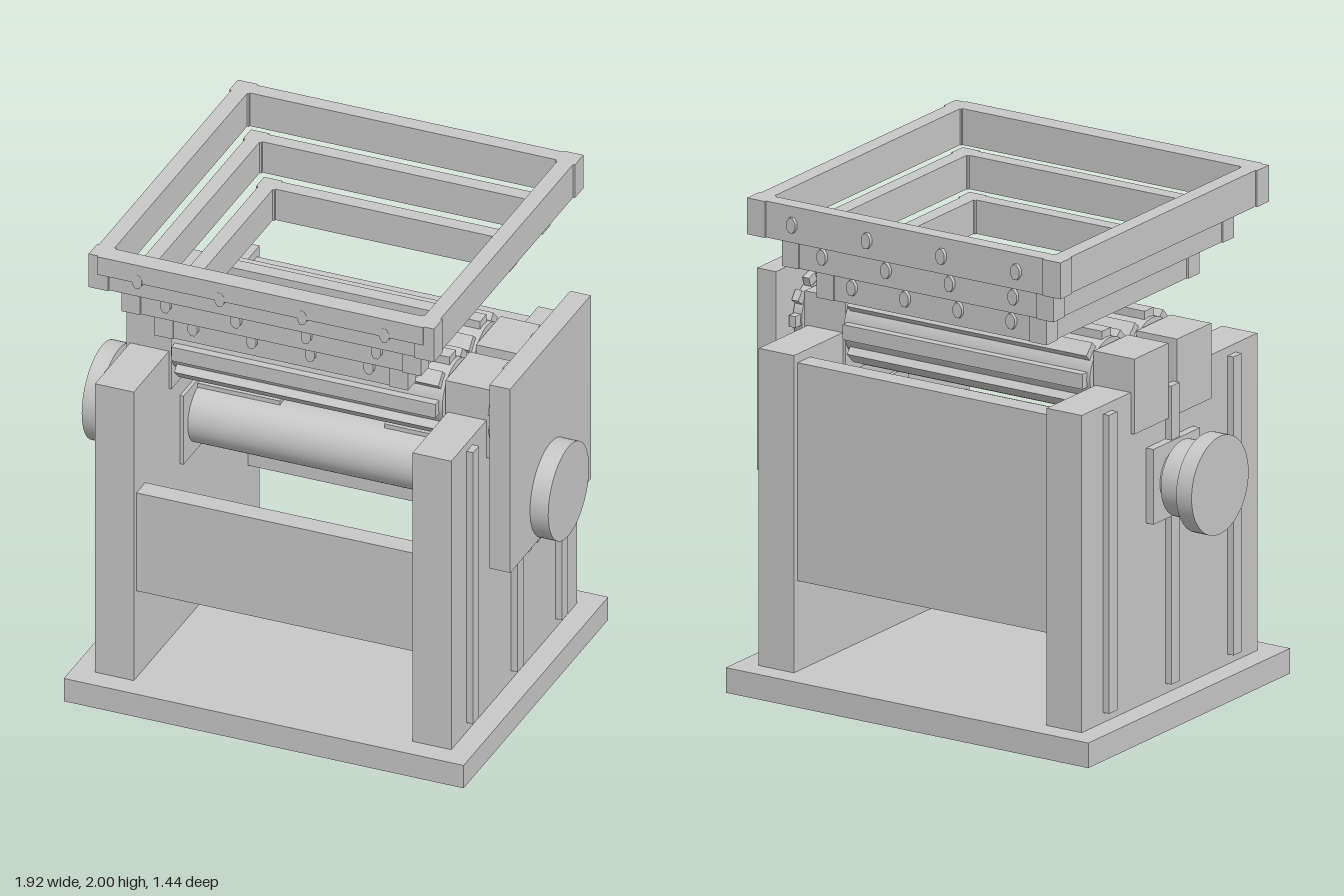
import * as THREE from 'three';

const grey = new THREE.MeshStandardMaterial({ color: 0xc8c8c8 });
grey.name = 'machine grey';

export function createModel() {
  const model = new THREE.Group();
  model.name = 'rollerCrusher';

  const add = (name, geometry, parent = model) => {
    const mesh = new THREE.Mesh(geometry, grey);
    mesh.name = name;
    parent.add(mesh);
    return mesh;
  };
  // Box given by its limits on each axis
  const box = (name, x0, x1, y0, y1, z0, z1, parent) => {
    const mesh = add(name, new THREE.BoxGeometry(x1 - x0, y1 - y0, z1 - z0), parent);
    mesh.position.set((x0 + x1) / 2, (y0 + y1) / 2, (z0 + z1) / 2);
    return mesh;
  };
  // Box at |x| between x0 and x1 on the given side
  const sideBox = (name, s, x0, x1, y0, y1, z0, z1) =>
    box(name, Math.min(s * x0, s * x1), Math.max(s * x0, s * x1), y0, y1, z0, z1);
  // Cylinder lying along x
  const rod = (name, r, x0, x1, y, z) => {
    const mesh = add(name, new THREE.CylinderGeometry(r, r, x1 - x0, 48).rotateZ(Math.PI / 2));
    mesh.position.set((x0 + x1) / 2, y, z);
    return mesh;
  };
  // Square bars around an axis along x
  const ring = (name, count, inner, outer, width, x0, x1, y, z, phase = 0) => {
    const group = new THREE.Group();
    group.name = name;
    group.position.set(0, y, z);
    for (let i = 0; i < count; i++) {
      const pivot = new THREE.Group();
      pivot.rotation.x = ((i + phase) / count) * Math.PI * 2;
      box(name + 'Bar', x0, x1, inner, outer, -width / 2, width / 2, pivot);
      group.add(pivot);
    }
    model.add(group);
  };

  box('base', -0.825, 0.825, 0, 0.1, -0.69, 0.69);

  // Side walls, notched at the top for the bearing blocks
  const rollY = 1.385, rollZ = 0.146, driveY = 0.965;
  const outline = new THREE.Shape([
    [-0.6, 0.1], [0.6, 0.1], [0.6, 1.365], [0.265, 1.365], [0.265, 1.2],
    [-0.265, 1.2], [-0.265, 1.365], [-0.6, 1.365],
  ].map(([z, y]) => new THREE.Vector2(z, y)));
  for (const s of [-1, 1]) {
    const wall = add('sideWall', new THREE.ExtrudeGeometry(outline, { depth: 0.16, bevelEnabled: false })
      .rotateY(Math.PI / 2));
    wall.position.x = s > 0 ? 0.575 : -0.735;
    for (const z of [-0.425, 0, 0.425])
      sideBox('wallRib', s, 0.73, 0.762, 0.14, 1.33, z - 0.028, z + 0.028);
    for (const z of [-rollZ, rollZ])
      sideBox('bearingBlock', s, 0.565, 0.75, 1.2, 1.5, z - 0.117, z + 0.117);
    sideBox('innerBearingPlate', s, 0.56, 0.58, driveY - 0.15, driveY + 0.15, -0.16, 0.16);
    sideBox('outerBearingPlate', s, 0.73, 0.768, driveY - 0.15, driveY + 0.15, -0.16, 0.16);
  }

  // Cross panels
  box('frontPanel', -0.575, 0.575, 0.48, 0.91, 0.49, 0.575);
  box('backPanel', -0.575, 0.575, 0.46, 1.33, -0.575, -0.49);

  // Lower drum with scraper strips
  rod('lowerDrum', 0.12, -0.565, 0.565, driveY, 0);
  box('drumStrip', -0.565, -0.22, 1.07, 1.1, -0.025, 0.025);
  box('drumStrip', 0.21, 0.555, 1.07, 1.1, -0.025, 0.025);

  // Pair of ribbed crushing rollers
  for (const z of [-rollZ, rollZ]) {
    rod('rollerCore', 0.135, -0.56, 0.56, rollY, z);
    rod('rollerShaft', 0.06, -0.74, 0.8, rollY, z);
    ring('rollerRib', 8, 0.12, 0.165, 0.06, -0.545, 0.545, rollY, z);
  }

  // Gear train behind the guard
  rod('driveGear', 0.235, 0.76, 0.825, driveY, 0);
  ring('driveGearTeeth', 16, 0.225, 0.275, 0.05, 0.765, 0.82, driveY, 0, 0.5);
  for (const z of [-rollZ, rollZ]) {
    rod('rollerGear', 0.13, 0.755, 0.795, rollY, z);
    ring('rollerGearTeeth', 10, 0.12, 0.165, 0.045, 0.76, 0.79, rollY, z, z > 0 ? 0 : 0.5);
  }
  box('gearGuard', 0.8, 0.885, 0.795, 1.6, -0.385, 0.385);
  rod('driveHub', 0.195, 0.885, 0.96, driveY, 0);

  // Pulley on the opposite side
  rod('pulleyNeck', 0.115, -0.8, -0.735, driveY, 0);
  rod('pulleyBody', 0.15, -0.897, -0.795, driveY, 0);
  rod('pulleyFlange', 0.195, -0.965, -0.895, driveY, 0);

  // Three stepped hopper frames with corner blocks and bolts
  const bolt = () => new THREE.CylinderGeometry(0.0215, 0.0215, 0.03, 8)
    .rotateY(Math.PI / 8).rotateX(Math.PI / 2).scale(1, 1.5, 1);
  const tiers = [
    { y: 1.855, h: 0.145, out: 0.705, inn: 0.64, bolts: 0.34 },
    { y: 1.72, h: 0.135, out: 0.61, inn: 0.55, bolts: 0.29 },
    { y: 1.585, h: 0.135, out: 0.515, inn: 0.455, bolts: 0.242 },
  ];
  for (const { y, h, out, inn, bolts } of tiers) {
    for (const s of [-1, 1]) {
      const a = Math.min(s * out, s * inn), b = Math.max(s * out, s * inn);
      box('hopperSideBeam', a, b, y, y + h, -inn, inn);
      box('hopperCrossBeam', -inn, inn, y, y + h, a, b);
      for (const t of [-1, 1]) {
        const c = (out + inn) / 2, w = (out - inn) / 2 + 0.008;
        box('hopperCorner', s * c - w, s * c + w, y, y + h, t * c - w, t * c + w);
      }
      for (let i = -1.5; i <= 1.5; i++)
        add('hopperBolt', bolt()).position.set(i * bolts, y + h / 2, s * (out + 0.001));
    }
  }
  box('hopperFrontStrip', -0.675, 0.67, 1.922, 2, 0.69, 0.72);

  return model;
}
